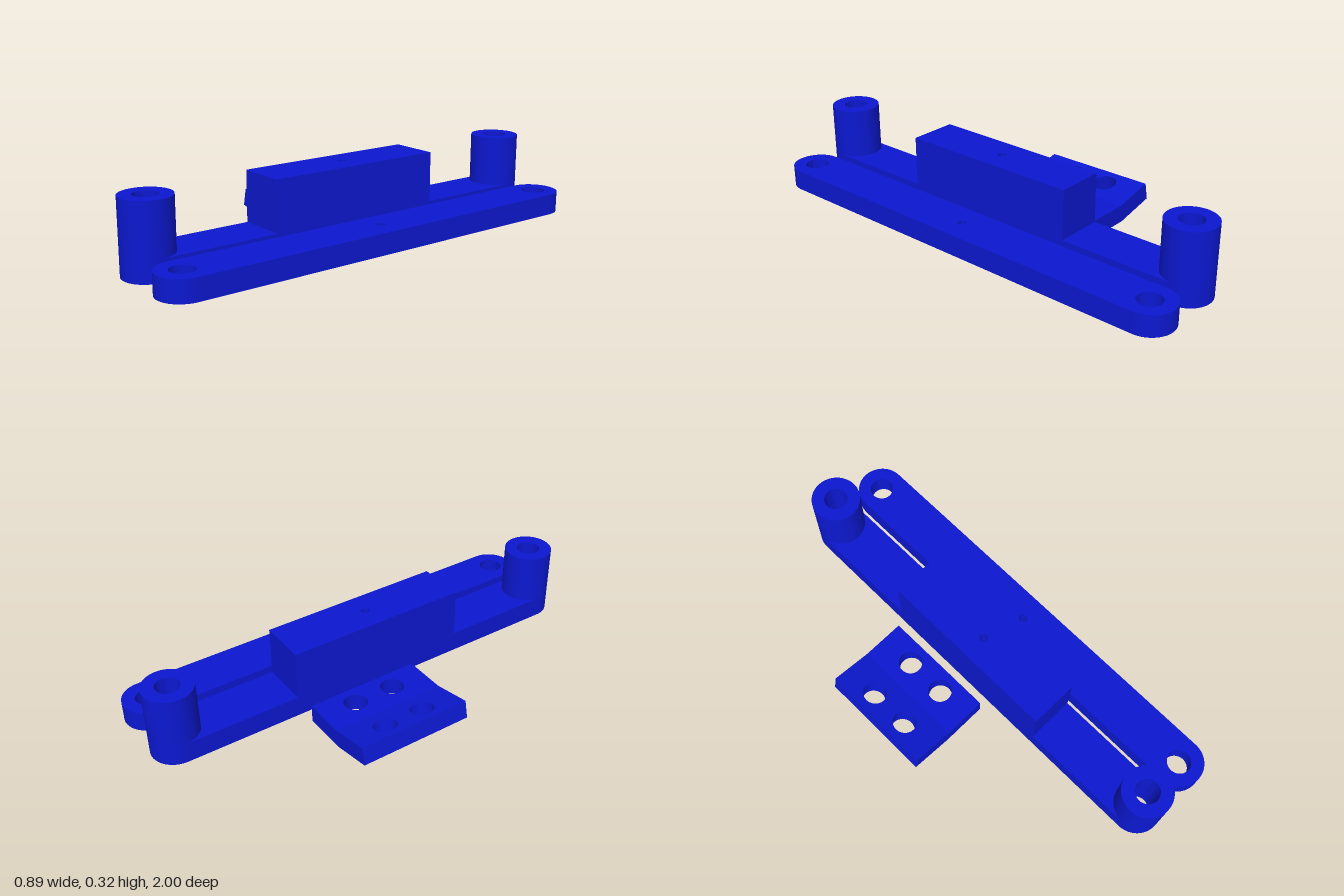
import * as THREE from 'three';
import { toCreasedNormals } from 'three/addons/utils/BufferGeometryUtils.js';

const material = new THREE.MeshStandardMaterial({ color: 0x0c18d0 });
const R = 0.104;      // half width of the bars and radius of the posts
const REACH = 0.896;  // distance from bar centre to end holes
const HOLE = 0.05;
const PIN = 0.018;

// Extrudes a plan outline upwards from y0 to y1, with round holes [x, z, radius]
function extrudePlan(shape, y0, y1, holes) {
  for (const [x, z, r] of holes) {
    const path = new THREE.Path();
    path.absarc(x, -z, r, 0, Math.PI * 2, true);
    shape.holes.push(path);
  }
  const geo = new THREE.ExtrudeGeometry(shape, { depth: y1 - y0, bevelEnabled: false, curveSegments: 32 });
  geo.rotateX(-Math.PI / 2);
  geo.translate(0, y0, 0);
  return geo;
}

function addMesh(parent, name, geo) {
  const mesh = new THREE.Mesh(toCreasedNormals(geo, 0.5), material);
  mesh.name = name;
  parent.add(mesh);
  return mesh;
}

function rectangle(x0, x1, halfZ) {
  return new THREE.Shape([
    new THREE.Vector2(x0, -halfZ), new THREE.Vector2(x1, -halfZ),
    new THREE.Vector2(x1, halfZ), new THREE.Vector2(x0, halfZ),
  ]);
}

// Round-ended bar with a hole at each end and a pin hole in the middle
function makeBar(name, x) {
  const bar = new THREE.Group();
  bar.name = name;
  const outline = new THREE.Shape();
  outline.absarc(0, REACH, R, 0, Math.PI);
  outline.absarc(0, -REACH, R, Math.PI, Math.PI * 2);
  outline.closePath();
  addMesh(bar, 'barBody', extrudePlan(outline, 0.013, 0.103,
    [[0, REACH, HOLE], [0, -REACH, HOLE], [0, 0, PIN]]));
  bar.position.x = x;
  bar.rotation.y = -0.0045;
  return bar;
}

// Half of the bent plate, starting at the bend with a mitred edge
function makePlateHalf(length) {
  const thickness = 0.077;
  const geo = extrudePlan(rectangle(0, length, 0.25), -thickness, 0,
    [[0.104, -0.09, HOLE], [0.104, 0.09, HOLE]]);
  const pos = geo.attributes.position;
  for (let i = 0; i < pos.count; i++) {
    if (pos.getX(i) < 0.001) pos.setX(i, pos.getY(i) * Math.tan(Math.PI / 30));
  }
  return geo;
}

export function createModel() {
  const model = new THREE.Group();
  model.name = 'bracketSet';

  model.add(makeBar('plainBar', 0.333));

  // Bar carrying a central block and two hollow posts
  const postBar = makeBar('postBar', 0.0865);
  addMesh(postBar, 'centreBlock', extrudePlan(rectangle(-R, R, 0.398), 0.103, 0.317, [[0, 0, PIN]]));
  for (const side of [1, -1]) {
    const disc = new THREE.Shape();
    disc.absarc(0, 0, R, 0, Math.PI * 2);
    const post = addMesh(postBar, side > 0 ? 'frontPost' : 'backPost',
      extrudePlan(disc, 0.103, 0.32, [[0, 0, HOLE]]));
    post.position.z = side * REACH;
  }
  model.add(postBar);

  // Four-hole plate, its outer half bent upwards by 12 degrees
  const plate = new THREE.Group();
  plate.name = 'bentPlate';
  addMesh(plate, 'flatHalf', makePlateHalf(0.185));
  addMesh(plate, 'raisedHalf', makePlateHalf(0.182)).rotation.set(0, Math.PI, Math.PI / 15);
  plate.position.set(-0.25, 0.077, -0.115);
  model.add(plate);

  return model;
}
